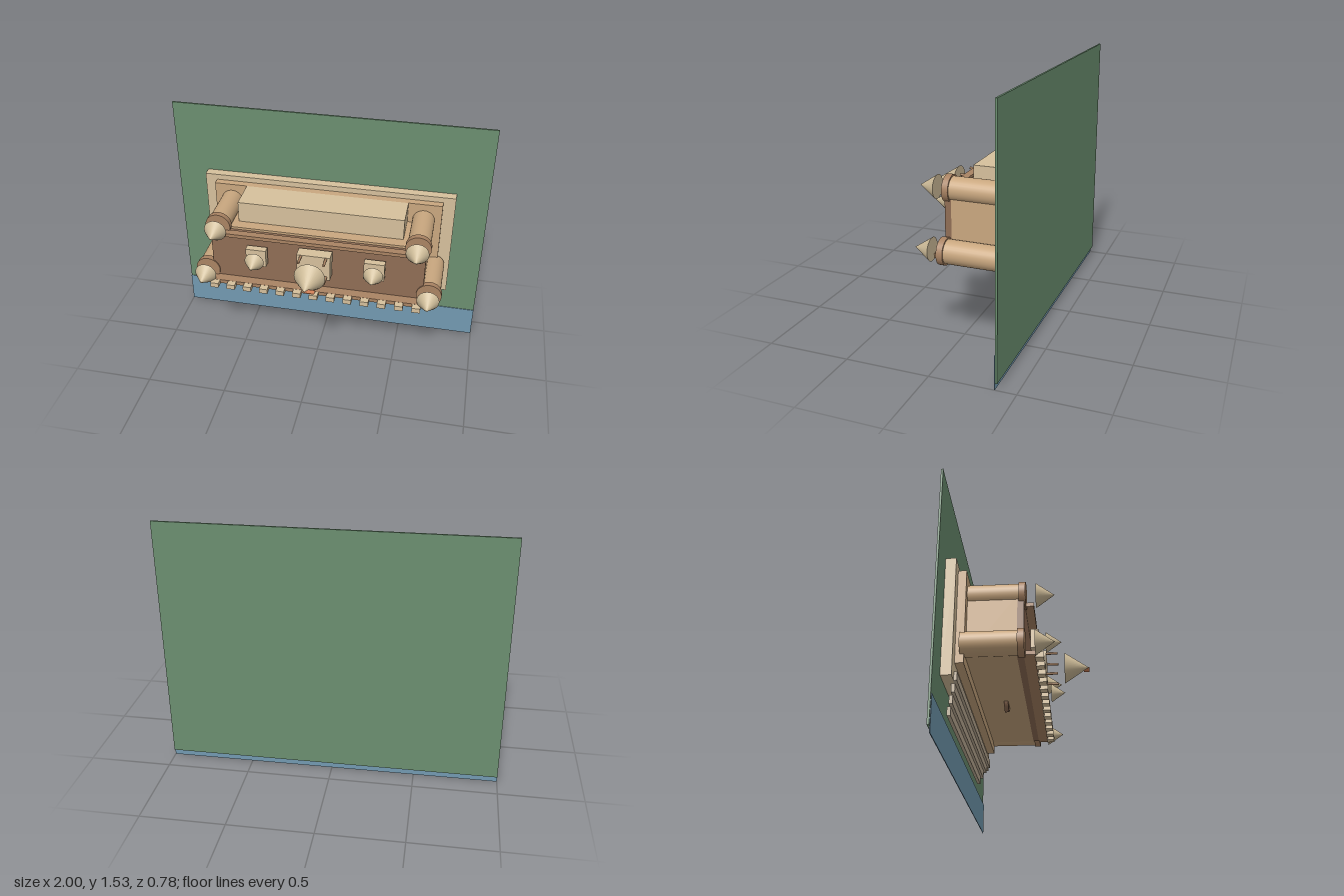
import * as THREE from 'three';

const paint = (color) => new THREE.MeshStandardMaterial({ color });

export function createModel() {
  const model = new THREE.Group();
  const stone = paint(0xd6c09c), sand = paint(0xc9a77f), brown = paint(0x8f6d55);
  const trim = paint(0xa98363), stepStone = paint(0xbfae96), roof = paint(0xcdbb98);
  const grass = paint(0x6b8e6f), water = paint(0x7299b0), flagRed = paint(0xd5835a);

  const add = (name, geometry, material, x, y, z) => {
    const mesh = new THREE.Mesh(geometry, material);
    mesh.name = name;
    mesh.position.set(x, y, z);
    model.add(mesh);
    return mesh;
  };
  // Box given by its limits on each axis
  const box = (name, material, x0, x1, y0, y1, z0, z1) =>
    add(name, new THREE.BoxGeometry(x1 - x0, y1 - y0, z1 - z0), material,
      (x0 + x1) / 2, (y0 + y1) / 2, (z0 + z1) / 2);
  // Round parts lie along z, from z0 (back) to z1 (front)
  const rod = (name, material, x, y, r, z0, z1, sides = 32) =>
    add(name, new THREE.CylinderGeometry(r, r, z1 - z0, sides).rotateX(Math.PI / 2),
      material, x, y, (z0 + z1) / 2);
  const cone = (name, x, y, r, z0, z1) =>
    add(name, new THREE.ConeGeometry(r, z1 - z0, 32).rotateX(Math.PI / 2),
      roof, x, y, (z0 + z1) / 2);

  // Ground and water strip
  box('ground', grass, -1, 1, 0.04, 1.535, -0.393, -0.381);
  box('water', water, -1, 1, 0, 0.2, -0.379, -0.375);

  // Terraces and staircase
  box('lowerTerrace', stone, -0.8, 0.8, 0.385, 1.085, -0.381, -0.322);
  box('upperTerrace', sand, -0.725, 0.725, 0.487, 1.05, -0.322, -0.275);
  [0.73, 0.69, 0.655, 0.615].forEach((w, i) => {
    const y = 0.385 - i * 0.049, z = -0.305 - i * 0.0155;
    box('step', stepStone, -w, w, y, y + 0.049, z - 0.02, z);
  });

  // Main hall, rear wing, roof and doorway
  box('hall', sand, -0.665, 0.665, 0.545, 0.915, -0.275, 0);
  box('rearWing', stone, -0.515, 0.515, 0.915, 1.05, -0.275, -0.07);
  box('roofDeck', brown, -0.665, 0.665, 0.545, 0.9, 0, 0.037);
  box('rearParapet', trim, -0.58, 0.58, 0.892, 0.915, 0.037, 0.085);
  box('frontParapet', trim, -0.68, 0.68, 0.543, 0.568, 0.037, 0.1);
  rod('doorArch', brown, 0, 0.56, 0.06, -0.13, -0.105);

  // Battlements
  for (let i = -6; i <= 6; i++) {
    const x = i * 0.106;
    box('merlon', stone, x - 0.026, x + 0.026, 0.535, 0.567, 0.095, 0.142);
  }

  // Corner towers and side turrets, mirrored
  for (const s of [-1, 1]) {
    for (const [x, y, back] of [[0.615, 0.938, -0.275], [0.702, 0.603, -0.297]]) {
      rod('tower', sand, s * x, y, 0.069, back, 0.01);
      rod('towerRing', trim, s * x, y, 0.078, 0.008, 0.045);
      cone('towerRoof', s * x, y, 0.069, 0.1, 0.203);
    }
    const x = s * 0.366;
    box('turret', stone, x - 0.063, x + 0.063, 0.712, 0.828, 0.055, 0.1);
    cone('turretRoof', x, 0.77, 0.06, 0.14, 0.23);
  }

  // Central keep with corner pinnacles, roof and flag
  box('keep', stone, -0.103, 0.103, 0.687, 0.852, 0.053, 0.127);
  for (const x of [-0.077, 0.077]) {
    for (const y of [0.708, 0.843]) rod('pinnacle', trim, x, y, 0.008, 0.12, 0.197, 10);
  }
  cone('keepRoof', 0, 0.777, 0.095, 0.238, 0.385);
  box('flag', flagRed, 0, 0.06, 0.775, 0.779, 0.355, 0.39);
  return model;
}
